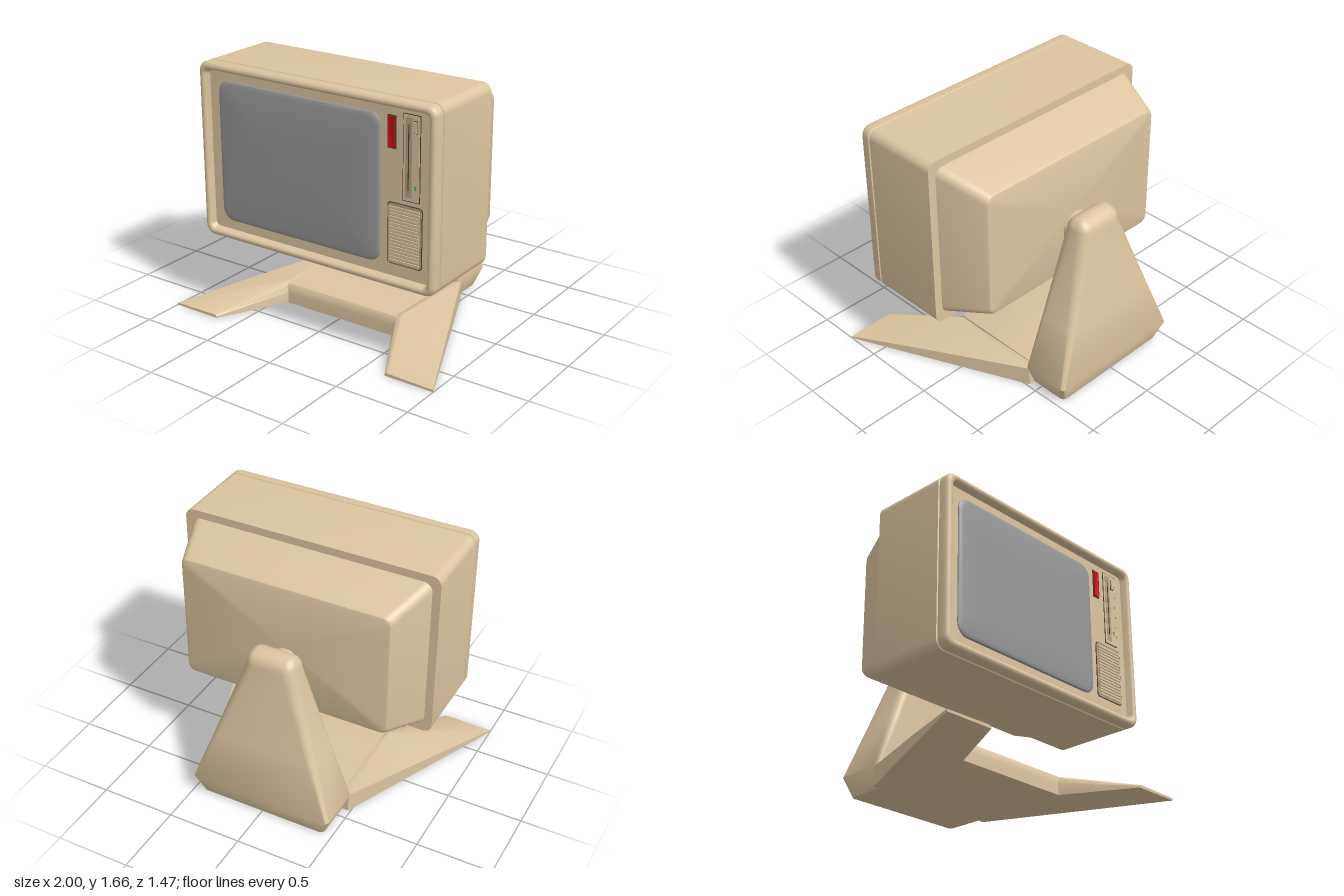
import * as THREE from 'three';
import { toCreasedNormals } from 'three/addons/utils/BufferGeometryUtils.js';

const paint = (color) => new THREE.MeshStandardMaterial({ color });

// Rounded rectangle as a counter-clockwise ring of points at depth z
function ring(cx, cy, hw, hh, r, z, n = 6) {
  const pts = [];
  [[1, -1], [1, 1], [-1, 1], [-1, -1]].forEach(([sx, sy], k) => {
    for (let i = 0; i <= n; i++) {
      const a = (k - 1 + i / n) * Math.PI / 2;
      pts.push([cx + sx * (hw - r) + r * Math.cos(a), cy + sy * (hh - r) + r * Math.sin(a), z]);
    }
  });
  return pts;
}

// Skin a row of rings and close both ends
function loft(rings, crease = 0.6) {
  const n = rings[0].length, pos = rings.flat(2), idx = [];
  const middle = (pts) => [0, 1, 2].map((k) => pts.reduce((s, p) => s + p[k], 0) / n);
  const last = (rings.length - 1) * n, c0 = rings.length * n;
  pos.push(...middle(rings[0]), ...middle(rings[rings.length - 1]));
  for (let i = 0; i < n; i++) {
    const j = (i + 1) % n;
    for (let k = 0; k < last; k += n) {
      idx.push(k + i, k + j, k + n + j, k + i, k + n + j, k + n + i);
    }
    idx.push(c0, j, i, c0 + 1, last + i, last + j);
  }
  const g = new THREE.BufferGeometry();
  g.setAttribute('position', new THREE.Float32BufferAttribute(pos, 3));
  g.setIndex(idx);
  return toCreasedNormals(g.toNonIndexed(), crease);
}

export function createModel() {
  const model = new THREE.Group();
  const beige = paint(0xdcc5a0), shade = paint(0xb7a382), dark = paint(0x4a4234);
  const grey = paint(0x999999), red = paint(0xcc1111), green = paint(0x3fa34a);

  function add(name, geometry, material = beige, parent = model) {
    const mesh = new THREE.Mesh(geometry, material);
    mesh.name = name;
    parent.add(mesh);
    return mesh;
  }
  function box(name, x0, x1, y0, y1, z0, z1, material, parent) {
    add(name, new THREE.BoxGeometry(x1 - x0, y1 - y0, z1 - z0), material, parent)
      .position.set((x0 + x1) / 2, (y0 + y1) / 2, (z0 + z1) / 2);
  }

  // Main casing: seam groove, rounded front rim and recessed face
  const cx = 0.015, cy = 1.08, face = 0.53;
  const casing = [
    [0, 0.06, -0.03], [0, 0.06, 0.492], [0.007, 0.055, 0.496], [0.007, 0.055, 0.502], [0, 0.06, 0.506],
    [0, 0.06, 0.55], [0.004, 0.06, 0.564], [0.013, 0.055, 0.575], [0.026, 0.05, 0.58],
    [0.036, 0.045, 0.578], [0.045, 0.04, 0.57], [0.056, 0.035, face],
  ].map(([inset, r, z]) => ring(cx, cy, 0.875 - inset, 0.58 - inset, r, z));
  add('casing', loft(casing));

  // Tapered rear housing
  add('rearHousing', loft([
    ring(0.02, cy, 0.69, 0.405, 0.04, -0.352),
    ring(0.02, cy, 0.708, 0.423, 0.05, -0.346),
    ring(0.02, cy, 0.719, 0.434, 0.055, -0.33),
    ring(cx, cy, 0.825, 0.53, 0.06, -0.02),
  ]));

  // Gently bulging screen
  const screen = [[0, face - 0.02], [0, face + 0.006], [0.006, face + 0.012], [0.03, face + 0.016],
    [0.15, face + 0.022], [0.3, face + 0.026]]
    .map(([i, z]) => ring(-0.12, 1.085, 0.61 - i, 0.465 - i, Math.max(0.08 - i * 0.2, 0.02), z));
  add('screen', loft(screen), grey);

  // Power switch
  const power = new THREE.Group();
  power.name = 'powerSwitch';
  model.add(power);
  box('switchSurround', 0.537, 0.595, 1.353, 1.553, face - 0.01, face + 0.004, dark, power);
  add('switchRocker', loft([
    ring(0.566, 1.453, 0.022, 0.092, 0.004, face),
    ring(0.566, 1.453, 0.022, 0.092, 0.004, face + 0.012),
    ring(0.566, 1.453, 0.02, 0.05, 0.004, face + 0.007),
  ]), red, power);

  // Disk drive
  const drive = new THREE.Group();
  drive.name = 'diskDrive';
  model.add(drive);
  box('driveOutline', 0.642, 0.762, 1.05, 1.58, face - 0.01, face + 0.002, dark, drive);
  box('drivePanel', 0.647, 0.757, 1.055, 1.575, face - 0.01, face + 0.005, beige, drive);
  box('driveInset', 0.662, 0.706, 1.075, 1.56, face, face + 0.007, shade, drive);
  box('diskSlot', 0.681, 0.687, 1.12, 1.52, face, face + 0.009, dark, drive);
  box('latchOutline', 0.718, 0.744, 1.47, 1.545, face, face + 0.007, dark, drive);
  box('latch', 0.722, 0.74, 1.474, 1.541, face, face + 0.013, beige, drive);
  box('driveLight', 0.727, 0.736, 1.13, 1.155, face, face + 0.008, green, drive);

  // Ventilation grille with slats
  const grille = new THREE.Group();
  grille.name = 'grille';
  model.add(grille);
  add('grilleOutline', loft([ring(0.66, 0.83, 0.122, 0.195, 0.022, face - 0.01),
    ring(0.66, 0.83, 0.122, 0.195, 0.022, face + 0.003)]), dark, grille);
  add('grillePlate', loft([ring(0.66, 0.83, 0.117, 0.19, 0.02, face - 0.01),
    ring(0.66, 0.83, 0.117, 0.19, 0.02, face + 0.006)]), shade, grille);
  for (let i = 0; i < 17; i++) {
    const y = 0.653 + i * 0.021;
    box('slat', 0.556, 0.765, y, y + 0.014, face, face + 0.013, beige, grille);
  }

  // Neck between stand and housing
  const neck = add('neck', new THREE.CylinderGeometry(0.105, 0.105, 0.09, 32));
  neck.rotation.x = Math.PI / 2;
  neck.position.set(0, 0.967, -0.38);

  // Stand post: rounded rectangles stacked upward, with a half-round top
  const level = (y, hw, back, r, front = -0.4) =>
    ring(0, -(front + back) / 2, hw, (front - back) / 2, r, y);
  const post = [level(0, 0.44, -0.69, 0.03), level(0.13, 0.49, -0.735, 0.03),
    level(0.5, 0.36, -0.675, 0.05), level(1.05, 0.17, -0.585, 0.07)];
  for (let i = 1; i <= 6; i++) {
    const t = i / 6 * 1.45, h = 0.0925 * Math.cos(t);
    post.push(level(1.05 + 0.092 * Math.sin(t), 0.17 - 0.07 * (1 - Math.cos(t)),
      -0.4925 - h, h * 0.75, -0.4925 + h));
  }
  add('standPost', loft(post, 0.75).rotateX(-Math.PI / 2));

  // Stand deck, a side profile pulled across the width
  const profile = new THREE.Shape([[0.55, 0], [0.55, 0.13], [0.4, 0.13], [-0.24, 0.14],
    [-0.262, 0.132], [-0.276, 0.11], [-0.28, 0.07], [-0.28, 0]].map((p) => new THREE.Vector2(...p)));
  const deck = new THREE.ExtrudeGeometry(profile, { depth: 0.86, bevelEnabled: false });
  deck.rotateY(Math.PI / 2).translate(-0.43, 0, 0);
  add('standDeck', toCreasedNormals(deck, 0.6));

  // Splayed legs: inner x, ridge x and height, outer x and height, z
  const leg = [
    [0.3, 0.47, 0.13, 0.485, 0.13, -0.43],
    [0.4, 0.45, 0.14, 0.783, 0.068, 0.24],
    [0.66, 0.685, 0.02, 1, 0.014, 0.73],
  ].map(([xi, xr, h, xo, ho, z]) =>
    [[xi, 0, z], [xo, 0, z], [xo, ho, z], [xr, h, z], [xi + (xr - xi) * 0.3, h * 0.88, z], [xi, h * 0.6, z]]);
  add('leftLeg', loft(leg));
  add('rightLeg', loft(leg.map((r) => r.map(([x, y, z]) => [-x, y, z]).reverse())));

  return model;
}
